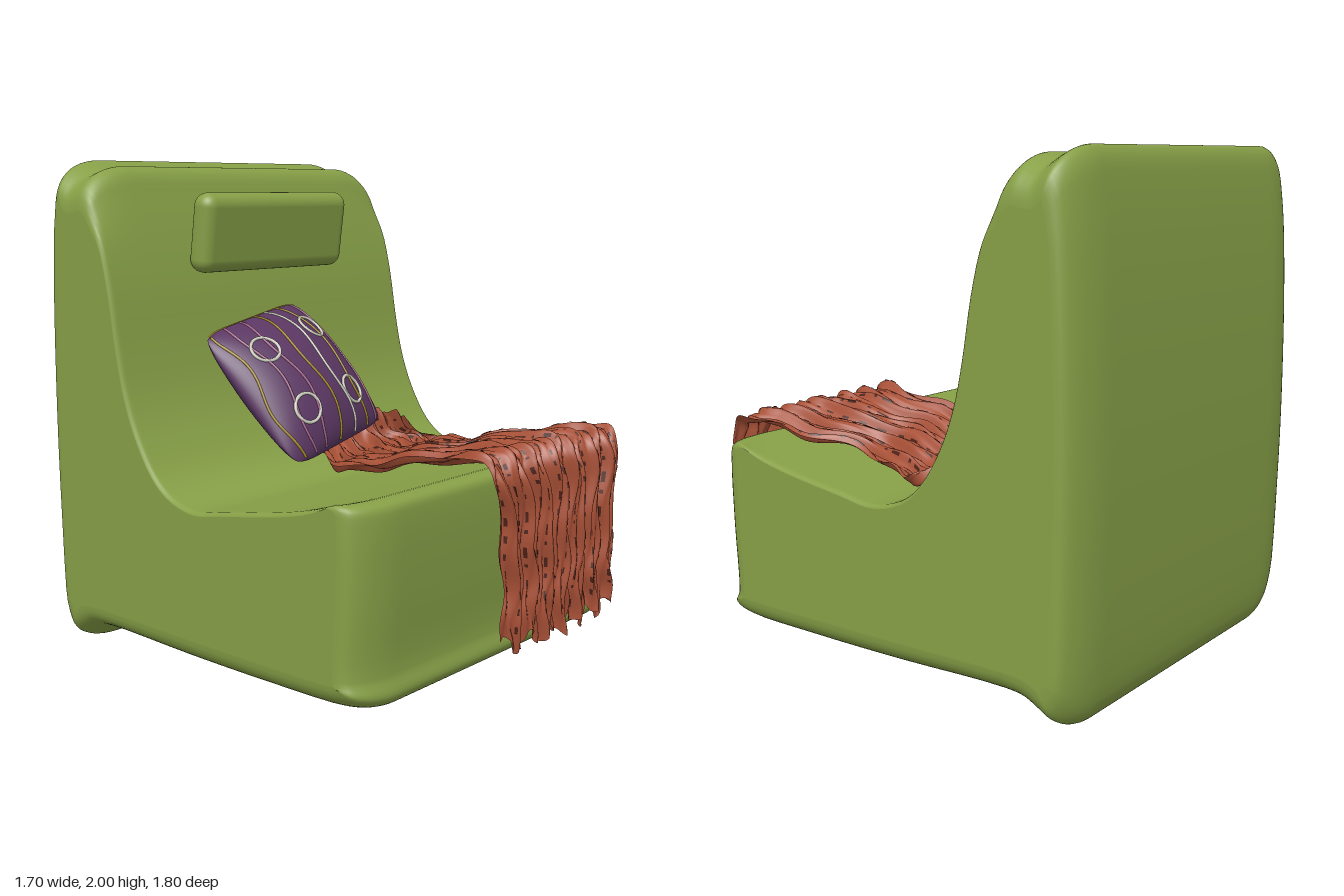
import * as THREE from 'three';
import { RoundedBoxGeometry } from 'three/addons/geometries/RoundedBoxGeometry.js';
import { mergeGeometries } from 'three/addons/utils/BufferGeometryUtils.js';

const material = (name, color, side = THREE.FrontSide) =>
  Object.assign(new THREE.MeshStandardMaterial({ color, side }), { name });
const ss = (a, b, v) => THREE.MathUtils.smoothstep(v, a, b);
const V = (x, y, z) => new THREE.Vector3(x, y, z);

function geometryFrom(points, index) {
  const g = new THREE.BufferGeometry().setFromPoints(points);
  g.setIndex(index);
  g.computeVertexNormals();
  return g;
}

// Surface patch from fn(u, v), both 0..1; faces along u cross v
function patch(fn, nu, nv) {
  const pts = [], idx = [];
  for (let i = 0; i <= nu; i++) for (let j = 0; j <= nv; j++) pts.push(fn(i / nu, j / nv));
  for (let i = 0; i < nu; i++) for (let j = 0; j < nv; j++) {
    const a = i * (nv + 1) + j, b = a + nv + 1;
    idx.push(a, b, b + 1, a, b + 1, a + 1);
  }
  return geometryFrom(pts, idx);
}

// Chair side profile as [z, y], from the front foot round the back to the seat
const PROFILE = [
  [.77, .115], [.7, .09], [.3, .075], [-.1, .075], [-.6, .085], [-.68, .07], [-.75, .03], [-.82, .003],
  [-.855, .04], [-.88, .15], [-.9, .6], [-.905, 1], [-.895, 1.5], [-.87, 1.85], [-.85, 1.96], [-.82, 1.998],
  [-.78, 1.985], [-.73, 1.96], [-.69, 1.965], [-.65, 1.973], [-.61, 1.94], [-.58, 1.86], [-.53, 1.7],
  [-.48, 1.5], [-.44, 1.27], [-.4, 1.1], [-.34, .95], [-.25, .81], [-.17, .745], [-.08, .712], [0, .705],
  [.12, .725], [.4, .77], [.65, .825], [.74, .842], [.78, .825], [.79, .77], [.785, .5], [.772, .22], [.79, .15],
];

function chairGeometry() {
  const curve = new THREE.CatmullRomCurve3(PROFILE.map(([z, y]) => V(0, y, z)), true, 'centripetal');
  const n = 160, base = [], inward = [];
  for (let j = 0; j < n; j++) {
    base.push(curve.getPoint(j / n));
    const t = curve.getTangent(j / n);
    inward.push(V(0, -t.z, t.y));
  }
  // Stations bunch up towards the rounded sides
  const half = [.3, .55];
  for (let k = 0; k <= 12; k++) half.push(.62 + .23 * Math.sin(k * Math.PI / 24));
  const xs = [...half.map(x => -x).reverse(), 0, ...half];
  const ring = x => {
    const c = Math.min(1, Math.max(0, (Math.abs(x) - .62) / .23));
    const d = 1 - Math.sqrt(1 - c * c);
    const k = Math.min(1, Math.max(0, (Math.abs(x) - .83) / .02));
    const e = .014 * (1 - Math.sqrt(1 - k * k));
    return base.map((p, j) => V(x,
      p.y - .16 * d * ss(1.6, 2, p.y) + .14 * d * (1 - ss(0, .25, p.y)) + e * inward[j].y,
      p.z - .09 * d * ss(.5, .79, p.z) + .07 * d * (1 - ss(-.9, -.7, p.z)) + e * inward[j].z));
  };
  const pts = xs.flatMap(ring), idx = [];
  for (let i = 0; i < xs.length - 1; i++) for (let j = 0; j < n; j++) {
    const a = i * n + j, b = i * n + (j + 1) % n;
    idx.push(a, b, b + n, a, b + n, a + n);
  }
  // Flat sides
  for (const s of [-1, 1]) {
    const cap = ring(s * .85), start = pts.length;
    pts.push(...cap);
    for (const [a, b, c] of THREE.ShapeUtils.triangulateShape(cap.map(p => new THREE.Vector2(-p.z, p.y)), []))
      idx.push(start + a, start + (s > 0 ? b : c), start + (s > 0 ? c : b));
  }
  return geometryFrom(pts, idx);
}

// Half of the lens-shaped cushion; u and v run -1..1
function cushionPoint(u, v, lift = 0) {
  const r = .315, h = .132 * Math.pow(Math.max(0, (1 - u * u) * (1 - v * v)), .6);
  return V(r * u * (1 - .07 * v ** 8), r * v * (1 - .07 * u ** 8), h + lift);
}

// Throw: left and right edges run from the seat back over the front edge
const PATH = [[-.27, .92], [-.2, .82], [-.08, .775], [.1, .78], [.3, .82], [.5, .86], [.7, .9],
  [.81, .905], [.86, .82], [.865, .65], [.863, .48], [.862, .32], [.86, .17]];
const LEFT_X = [.1, .02, -.08, -.17, -.2, -.2, -.18, -.2, -.18, -.13, -.11, -.1, -.1];
const RIGHT_X = [.5, .6, .65, .61, .58, .66, .7, .72, .71, .69, .68, .68, .69];
const edge = xs => new THREE.CatmullRomCurve3(PATH.map(([z, y], i) => V(xs[i], y, z)));
const leftEdge = edge(LEFT_X), rightEdge = edge(RIGHT_X);

function throwPoint(t, s, lift = 0) {
  const p = leftEdge.getPoint(t).lerp(rightEdge.getPoint(t), s);
  const tan = leftEdge.getTangent(t), len = Math.hypot(tan.y, tan.z);
  const back = 1 - ss(0, .3, t), seat = 1 - ss(.4, .62, t);
  const fold = .016 * Math.sin(44 * s + 2 * Math.sin(5 * t))
    + .011 * Math.sin(83 * s + 3 * Math.sin(9 * t + 1))
    + .006 * Math.sin(150 * s + 20 * t)
    + seat * (.008 * Math.sin(50 * t + 9 * s) + .03 * Math.exp(-(((s - .42 - .25 * t) / .04) ** 2)));
  const o = fold + lift;
  p.y += o * tan.z / len;
  p.z -= o * tan.y / len;
  p.z += back * .17 * s ** 4;
  p.y -= back * .05 * s ** 4;
  // Ragged hem and gently wavering side edges
  p.y += ss(.85, 1, t) * (.03 * Math.sin(34 * s + 1) + .018 * Math.sin(71 * s));
  p.x += .008 * Math.sin(45 * t + 2 * s);
  return p;
}

export function createModel() {
  const green = material('greenUpholstery', 0x87a047);
  const purple = material('purpleFabric', 0x5b3763);
  const rust = material('rustKnit', 0xa85036, THREE.DoubleSide);
  const dark = material('darkStitching', 0x4c2219, THREE.DoubleSide);
  const gold = material('goldThread', 0xa58a2c);
  const pink = material('pinkThread', 0xa5668c);
  const pale = material('paleThread', 0xd2d2c4);

  const model = new THREE.Group();
  model.name = 'armlessChair';
  const add = (parent, name, geometry, mat) => {
    const m = new THREE.Mesh(geometry, mat);
    m.name = name;
    parent.add(m);
    return m;
  };

  add(model, 'chairBody', chairGeometry(), green);

  const headrest = add(model, 'headrest', new RoundedBoxGeometry(.85, .325, .115, 6, .055), green);
  headrest.position.set(-.005, 1.708, -.443);
  headrest.rotation.x = .14;

  // Cushion leaning back, turned slightly
  const cushion = new THREE.Group();
  cushion.name = 'cushion';
  cushion.position.set(-.23, 1.125, -.085);
  cushion.rotation.set(-.68, 0, .2);
  model.add(cushion);
  const half = patch((u, v) => cushionPoint(-Math.cos(u * Math.PI), -Math.cos(v * Math.PI)), 36, 36);
  add(cushion, 'cushionFront', half, purple);
  add(cushion, 'cushionBack', half, purple).rotation.y = Math.PI;

  const thread = (name, points, radius, mat, closed = false) =>
    add(cushion, name, new THREE.TubeGeometry(new THREE.CatmullRomCurve3(points, closed), 64, radius, 6, closed), mat);

  // Wavy stripes over the cushion front
  [[-.88, gold], [-.62, pink], [-.36, pink], [-.07, gold], [.22, pale], [.54, gold], [.86, pink]].forEach(([u, mat], k) => {
    const pts = [];
    for (let i = 0; i <= 24; i++) {
      const v = -.97 + 1.94 * i / 24;
      pts.push(cushionPoint(u + .05 * Math.sin(4.5 * v + k * 1.3), v, .001));
    }
    thread('cushionStripe', pts, .0055, mat);
  });

  // Stitched rings
  for (const [cu, cv] of [[-.5, .44], [.57, .5], [-.5, -.47], [.43, -.5]]) {
    const pts = [];
    for (let i = 0; i < 20; i++) {
      const a = i * Math.PI / 10;
      pts.push(cushionPoint(cu + .18 * Math.cos(a), cv + .18 * Math.sin(a), .002));
    }
    thread('cushionRing', pts, .007, pale, true);
  }

  // Piping along the top seam
  const seam = [];
  for (let i = 0; i <= 20; i++) seam.push(cushionPoint(-.95 + 1.9 * i / 20, 1));
  thread('cushionPiping', seam, .005, gold);

  // Throw with rows of dashed stitching
  const blanket = new THREE.Group();
  blanket.name = 'throwBlanket';
  model.add(blanket);
  add(blanket, 'throwCloth', patch((t, s) => throwPoint(t, s), 140, 150), rust);
  const dashes = [];
  for (let c = 0; c < 19; c++) for (let r = 0; r < 28; r++) {
    const s = (c + .5) / 19, t = .02 + (r + (c % 3) * .2) / 29.5;
    const length = .014 + .008 * Math.sin(c * 7 + r * 3);
    dashes.push(patch((u, v) => throwPoint(t + length * u, s + (v - .5) * .007, .003), 3, 1));
  }
  add(blanket, 'throwStitches', mergeGeometries(dashes), dark);

  return model;
}
